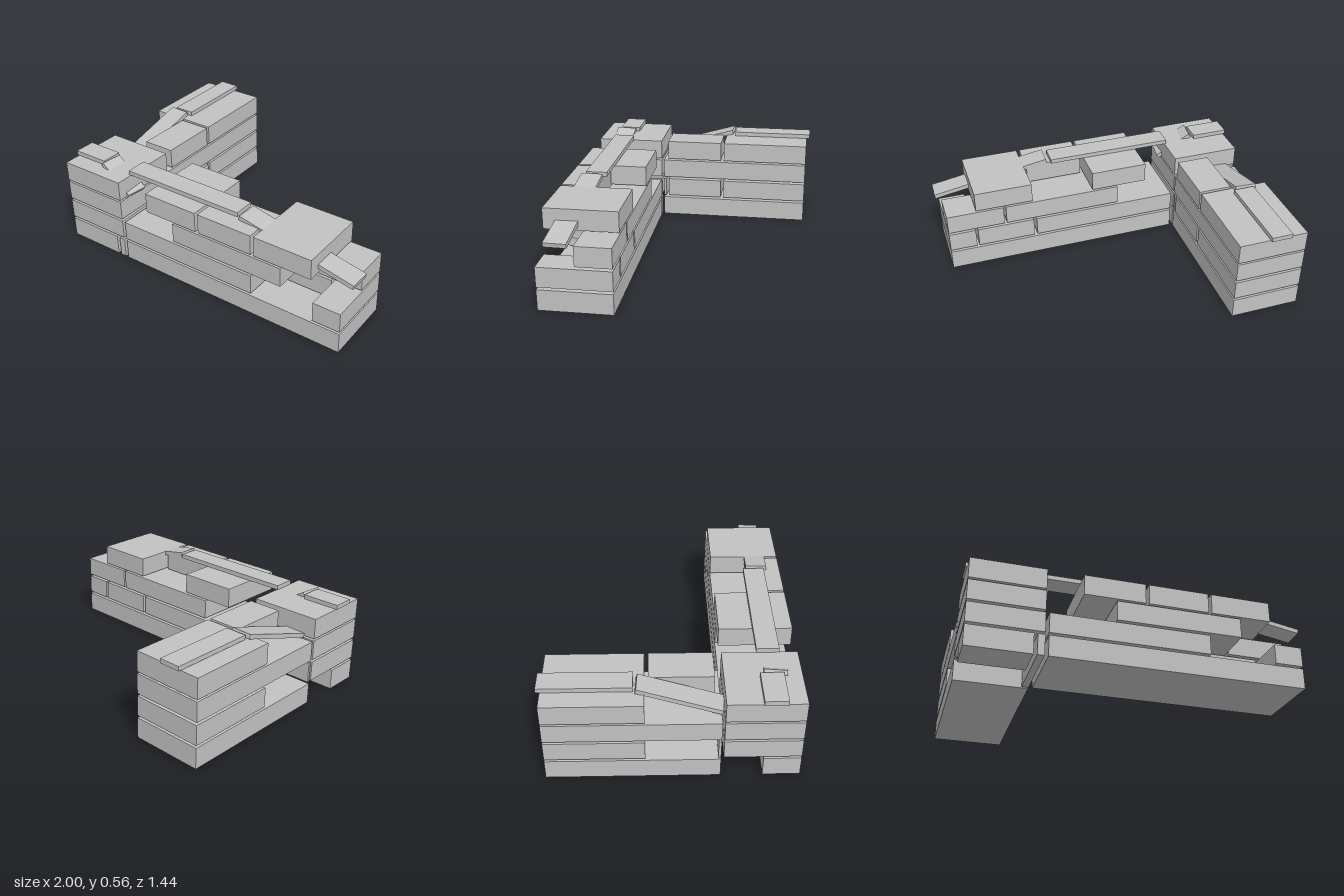
import * as THREE from 'three';

// Ruined L-shaped wall corner: four courses of stone blocks with broken slabs on top
export function createModel() {
  const model = new THREE.Group();
  model.name = 'ruinedWall';
  const stone = new THREE.MeshStandardMaterial({ color: 0xc2c2c2 });
  stone.name = 'grey stone';

  // bottom and top height of each course
  const courses = [[0, 0.125], [0.14, 0.26], [0.275, 0.395], [0.407, 0.53]];

  const addBlock = (name, row, x0, x1, z0, z1) => {
    const [y0, y1] = courses[row];
    const mesh = new THREE.Mesh(new THREE.BoxGeometry(x1 - x0, y1 - y0, z1 - z0), stone);
    mesh.position.set((x0 + x1) / 2, (y0 + y1) / 2, (z0 + z1) / 2);
    mesh.name = name;
    model.add(mesh);
  };

  // Corner pillar: broken at the foot, whole above
  addBlock('cornerFootBlock', 0, -0.99, -0.62, 0.505, 0.715);
  addBlock('cornerFootSliver', 0, -0.6, -0.56, 0.285, 0.715);
  for (const row of [1, 2, 3]) addBlock('cornerBlock', row, -0.99, -0.56, 0.285, 0.715);

  // Front wall: [row, x0, x1, z0, z1], some blocks are only half as deep
  const back = 0.285, middle = 0.495, front = 0.715;
  for (const [row, x0, x1, z0, z1] of [
    [0, -0.54, 0.96, back, front],
    [1, -0.54, 0.39, back, front],
    [1, 0.41, 0.775, back, middle],
    [1, 0.79, 0.96, back, front],
    [2, -0.16, 0.585, back, front],
    [2, 0.6, 0.96, back, middle],
    [3, -0.35, 0.01, back, front],
    [3, 0.03, 0.39, middle + 0.01, front],
    [3, 0.41, 0.775, back, front],
  ]) addBlock('frontWallBlock', row, x0, x1, z0, z1);

  // Side wall running backwards
  for (const [row, x0, z0, z1] of [
    [0, -0.99, -0.7, 0.27],
    [1, -0.99, -0.7, -0.145],
    [1, -0.765, -0.125, 0.238],
    [1, -0.99, 0.255, 0.27],
    [2, -0.99, -0.7, 0.27],
    [3, -0.99, -0.7, -0.145],
    [3, -0.765, -0.125, 0.238],
  ]) addBlock('sideWallBlock', row, x0, -0.56, z0, z1);

  // Coping slabs: three lie flat, three have slid down
  const addSlab = (name, size, position, yaw = 0, pitch = 0, roll = 0) => {
    const mesh = new THREE.Mesh(new THREE.BoxGeometry(...size), stone);
    mesh.position.set(...position);
    mesh.rotation.set(pitch, yaw, roll, 'YXZ');
    mesh.name = name;
    model.add(mesh);
  };
  const t = 0.027, w = 0.13;
  addSlab('cornerSlab', [0.23, t, w], [-0.885, 0.547, 0.545]);
  addSlab('frontSlab', [0.8, t, w], [-0.17, 0.547, 0.545]);
  addSlab('sideSlab', [w, t, 0.515], [-0.815, 0.547, -0.463]);
  addSlab('fallenCornerSlab', [0.26, t, w], [-0.65, 0.481, 0.58], -0.12, 0, -0.57);
  addSlab('fallenFrontSlab', [0.75, t, w], [0.624, 0.477, 0.575], -0.03, 0, -0.187);
  addSlab('fallenSideSlab', [w, t, 0.49], [-0.848, 0.482, 0.045], -0.05, 0.29, 0);

  return model;
}
